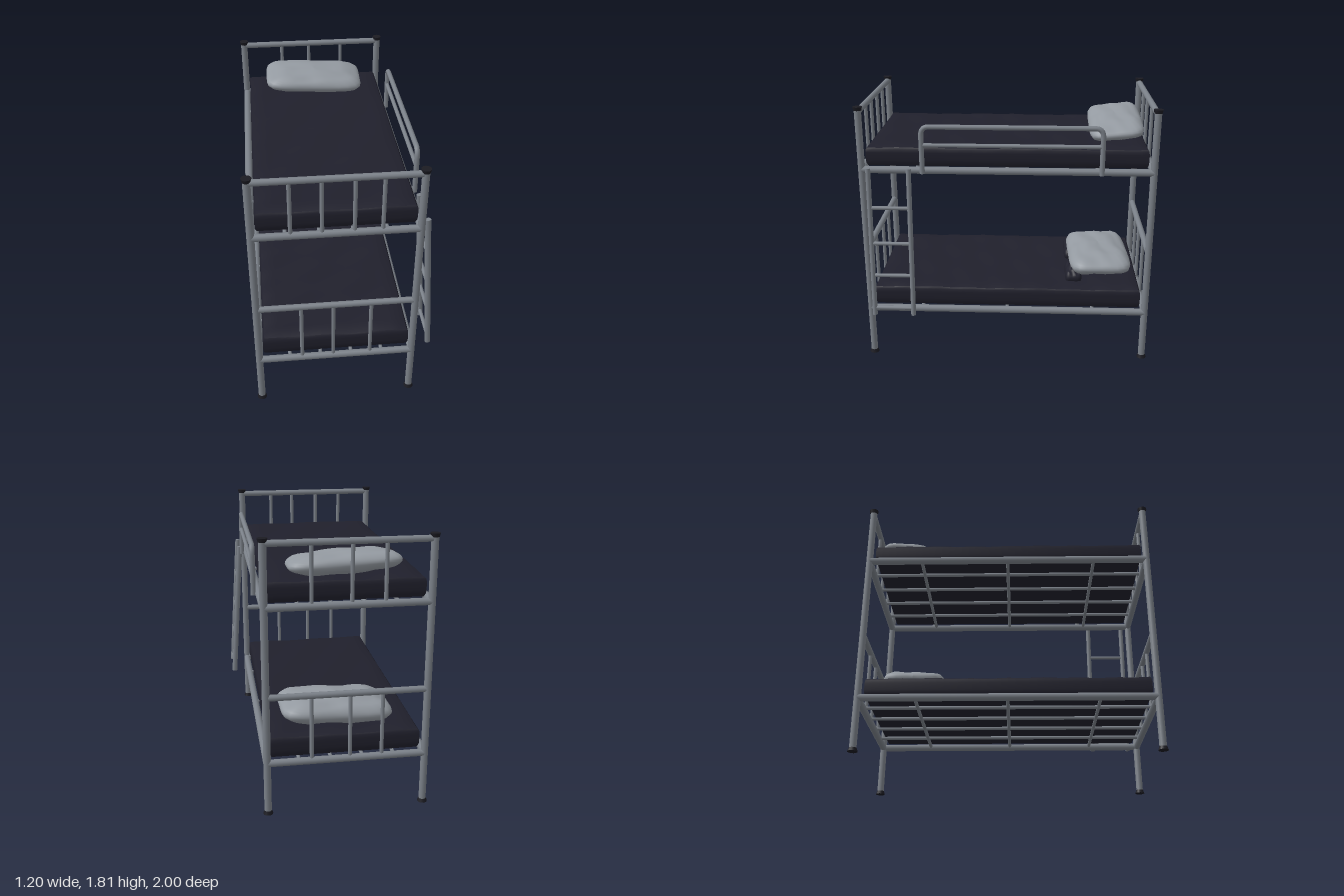
import * as THREE from 'three';

const mat = (name, color) => {
  const m = new THREE.MeshStandardMaterial({ color });
  m.name = name;
  return m;
};

export function createModel() {
  const root = new THREE.Group();
  root.name = 'bunkBed';
  const steel = mat('grey steel', 0x7b8189);
  const linen = mat('pale grey linen', 0x949aa1);
  const navy = mat('dark navy fabric', 0x20202c);
  const rubber = mat('black rubber', 0x1b1b22);

  const add = (name, geo, material, parent = root) => {
    const m = new THREE.Mesh(geo, material);
    m.name = name;
    parent.add(m);
    return m;
  };
  const V = (x, y, z) => new THREE.Vector3(x, y, z);

  // Straight round tube between two points
  const bar = (name, a, b, r, parent = root) => {
    const m = add(name, new THREE.CylinderGeometry(r, r, a.distanceTo(b), 12), steel, parent);
    m.position.copy(a).lerp(b, 0.5);
    m.quaternion.setFromUnitVectors(V(0, 1, 0), b.clone().sub(a).normalize());
    return m;
  };

  const XL = -0.573, XR = 0.456, Z = 0.965;

  // Corner posts with feet and end caps
  for (const x of [XL, XR]) for (const z of [-Z, Z]) {
    bar('post', V(x, 0.01, z), V(x, 1.79, z), 0.024);
    const foot = add('foot', new THREE.CylinderGeometry(0.025, 0.033, 0.024, 12), rubber);
    foot.position.set(x, 0.012, z);
    const cap = add('postCap', new THREE.CylinderGeometry(0.032, 0.026, 0.024, 12), rubber);
    cap.position.set(x, 1.798, z);
  }

  // Mattress with soft edges and gentle creases
  const mattress = (y0, y1) => {
    const w = 0.98, d = 1.87, h = y1 - y0;
    const g = new THREE.BoxGeometry(w, h, d, 20, 6, 40);
    const p = g.attributes.position;
    for (let i = 0; i < p.count; i++) {
      let x = p.getX(i), y = p.getY(i), z = p.getZ(i);
      const e = Math.pow(Math.abs(2 * y / h), 4) * 0.012;
      const edge = Math.max(Math.abs(x) / (w / 2), Math.abs(z) / (d / 2));
      const wave = Math.sin(x * 11 + z * 17) * Math.sin(z * 9 - x * 5);
      x -= Math.sign(x) * e * Math.min(1, Math.abs(x) / (w / 2));
      z -= Math.sign(z) * e * Math.min(1, Math.abs(z) / (d / 2));
      if (y > h * 0.45) y += 0.004 * wave - (edge > 0.98 ? 0.012 : 0);
      p.setXYZ(i, x, y, z);
    }
    g.computeVertexNormals();
    const m = add('mattress', g, navy);
    m.position.set(-0.055, (y0 + y1) / 2, 0.003);
  };

  // Pillow: a sphere squared off in plan, with tapering edges and creases
  const cushion = (name, w, h, d, material, crease) => {
    const g = new THREE.SphereGeometry(1, 40, 20);
    const p = g.attributes.position;
    for (let i = 0; i < p.count; i++) {
      const x = p.getX(i), y = p.getY(i), z = p.getZ(i);
      const n = Math.pow(Math.abs(x) ** 6 + Math.abs(z) ** 6, 1 / 6);
      const f = n > 1e-4 ? Math.hypot(x, z) / n : 1;
      const r = Math.pow(Math.hypot(x, z), 0.7) / Math.max(Math.hypot(x, z), 1e-4);
      const fold = 1 + crease * Math.sin(x * 9 + z * 4) * Math.sin(z * 7 - x * 3);
      p.setXYZ(i, x * f * r * w / 2, y * fold * h / 2, z * f * r * d / 2);
    }
    g.computeVertexNormals();
    return add(name, g, material);
  };

  // One bunk: frame, end rails with bars, slats and mattress
  const bunk = (yFrame, yTop, mattressTop, frontBars, backBars) => {
    for (const x of [XL, XR]) bar('sideRail', V(x, yFrame, -Z), V(x, yFrame, Z), 0.025);
    for (const [z, xs] of [[Z, frontBars], [-Z, backBars]]) {
      bar('endRail', V(XL, yFrame, z), V(XR, yFrame, z), 0.024);
      bar('endTopRail', V(XL, yTop, z), V(XR, yTop, z), 0.021);
      for (const x of xs) bar('endBar', V(x, yFrame, z), V(x, yTop, z), 0.013);
    }
    for (let i = 1; i < 5; i++) {
      const x = XL + (XR - XL) * i / 5;
      bar('longSlat', V(x, yFrame + 0.008, -Z), V(x, yFrame + 0.008, Z), 0.012);
    }
    for (const z of [-0.6, 0, 0.6])
      bar('crossSlat', V(XL, yFrame + 0.005, z), V(XR, yFrame + 0.005, z), 0.012);
    mattress(yFrame + 0.02, mattressTop);
  };
  const three = [-0.285, -0.077, 0.17];
  bunk(0.36, 0.81, 0.522, three, three);
  bunk(1.387, 1.777, 1.542, [-0.336, -0.146, 0.05, 0.222], three);

  // Pillows
  const upper = cushion('upperPillow', 0.71, 0.14, 0.37, linen, 0.1);
  upper.position.set(-0.06, 1.605, -0.74);
  upper.rotation.set(0.1, -0.02, -0.05);
  const lower = cushion('lowerPillow', 0.74, 0.17, 0.44, linen, 0.12);
  lower.position.set(-0.025, 0.605, -0.655);
  lower.rotation.set(0, 0.03, 0.05);

  // Blanket folds bunched against the lower pillow
  for (const [x, w] of [[-0.23, 0.32], [0.2, 0.24]]) {
    const fold = cushion('blanketFold', w, 0.12, 0.12, navy, 0.2);
    fold.position.set(x, 0.54, -0.47);
  }

  // Guard rail: bent hoop with a middle rail
  const gx = 0.492, path = new THREE.CurvePath();
  const pts = [[1.375, 0.555], [1.63, 0.555], [1.69, 0.505], [1.69, -0.57], [1.63, -0.622], [1.375, -0.622]]
    .map(([y, z]) => V(gx, y, z));
  path.add(new THREE.LineCurve3(pts[0], pts[1]));
  path.add(new THREE.QuadraticBezierCurve3(pts[1], V(gx, 1.69, 0.555), pts[2]));
  path.add(new THREE.LineCurve3(pts[2], pts[3]));
  path.add(new THREE.QuadraticBezierCurve3(pts[3], V(gx, 1.69, -0.622), pts[4]));
  path.add(new THREE.LineCurve3(pts[4], pts[5]));
  add('guardRail', new THREE.TubeGeometry(path, 120, 0.017, 10), steel);
  bar('guardMiddleRail', V(gx, 1.568, 0.555), V(gx, 1.568, -0.622), 0.014);

  // Leaning ladder
  const ladder = new THREE.Group();
  ladder.name = 'ladder';
  root.add(ladder);
  const ladderX = (y) => 0.578 - (y - 0.37) * 0.07;
  for (const z of [0.913, 0.645]) {
    const stile = bar('ladderStile', V(ladderX(0.37), 0.37, z), V(ladderX(1.41), 1.41, z), 0.02, ladder);
    stile.scale.z = 0.85;
  }
  for (const y of [0.42, 0.66, 0.89, 1.14])
    bar('ladderRung', V(ladderX(y), y, 0.913), V(ladderX(y), y, 0.645), 0.013, ladder);

  return root;
}
